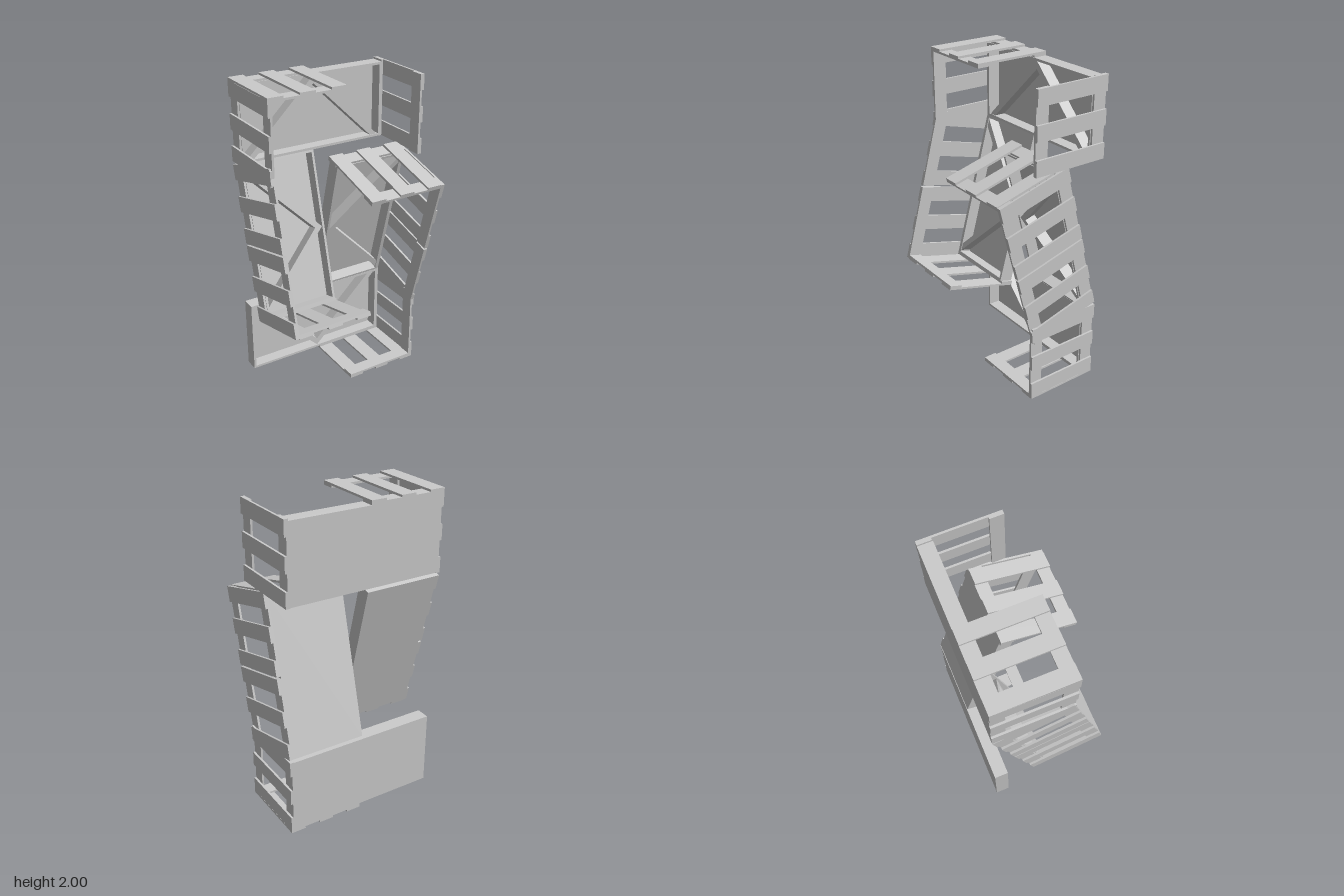
import * as THREE from 'three';

const mat = new THREE.MeshStandardMaterial({ color: 0xcccccc, flatShading: true });
const W = 0.98, H = 0.48;       // panel size
const FRAME = 0.09;             // panel depth
const T = 0.0135;               // plank thickness
const L = 0.495, D = 0.492;     // slatted grate size
const RAIL = 0.085, SLAT = 0.097;

// box given by its minimum corner and size
function box(name, x, y, z, w, h, d) {
  const m = new THREE.Mesh(new THREE.BoxGeometry(w, h, d), mat);
  m.position.set(x + w / 2, y + h / 2, z + d / 2);
  m.name = name;
  return m;
}

// backed panel with a rim and a chevron brace, x centred, y from 0 to H, back at z = 0
function panel() {
  const g = new THREE.Group();
  g.name = 'panel';
  const r = 0.015, hw = W / 2;
  g.add(box('backBoard', -hw, 0, 0, W, H, 0.012));
  for (const y of [0, H - r]) g.add(box('longRim', -hw, y, 0.012, W, r, FRAME - 0.012));
  for (const x of [-hw, hw - r]) g.add(box('shortRim', x, r, 0.012, r, H - 2 * r, FRAME - 0.012));
  const pts = [[-0.465, r], [-0.415, r], [0, H - 0.065], [0.415, r], [0.465, r], [0, H - r]];
  const shape = new THREE.Shape(pts.map(([x, y]) => new THREE.Vector2(x, y)));
  const brace = new THREE.Mesh(
    new THREE.ExtrudeGeometry(shape, { depth: FRAME - 0.017, bevelEnabled: false }), mat);
  brace.position.z = 0.012;
  brace.name = 'chevronBrace';
  g.add(brace);
  return g;
}

// two rails carrying three slats; runs along +x, slats along z, outer side +y
function grate(name, x, y, turn) {
  const g = new THREE.Group();
  g.name = name;
  for (const z of [0, D - RAIL]) g.add(box('rail', 0, 0, z, L, T, RAIL));
  for (let i = 0; i < 3; i++) g.add(box('slat', i * (L - SLAT) / 2, T, 0, SLAT, T, D));
  g.position.set(x, y, 0);
  g.rotation.z = turn;
  return g;
}

const Q = Math.PI / 2;

// upright unit: wide panel, lid over one half, one or two side walls
function uprightUnit(name, bothWalls) {
  const g = new THREE.Group();
  g.name = name;
  const p = panel();
  p.position.y = 0.493;
  g.add(p);
  g.add(grate('lid', -0.517, 0.973, 0));
  g.add(grate('sideWall', -0.49, 0.49, Q));
  if (bothWalls) g.add(grate('sideWall', 0.49, 0.985, -Q));
  g.position.z = -0.372;
  return g;
}

// leaning unit: tall panel, lid at the top and two stacked walls on the outer side
function leaningUnit(name) {
  const g = new THREE.Group();
  g.name = name;
  const p = panel();
  p.rotation.z = Q;
  p.position.set(0.49, W / 2, 0);
  g.add(p);
  g.add(grate('lid', -0.003, W, 0));
  g.add(grate('lowerSideWall', 0.49, L, -Q));
  g.add(grate('upperSideWall', 0.49, 2 * L + 0.012, -Q));
  g.position.set(0, -0.47, -0.37);
  g.rotation.x = THREE.MathUtils.degToRad(15);
  return g;
}

export function createModel() {
  const model = new THREE.Group();
  model.name = 'crateTower';

  const upper = new THREE.Group();
  upper.name = 'upperHalf';
  upper.add(uprightUnit('topUnit', true), leaningUnit('leaningUnitLeft'));
  upper.position.y = 1;

  // same pair turned half round about the centre
  const lower = new THREE.Group();
  lower.name = 'lowerHalf';
  lower.add(uprightUnit('bottomUnit', false), leaningUnit('leaningUnitRight'));
  lower.position.y = 1;
  lower.rotation.z = Math.PI;

  model.add(upper, lower);
  return model;
}
